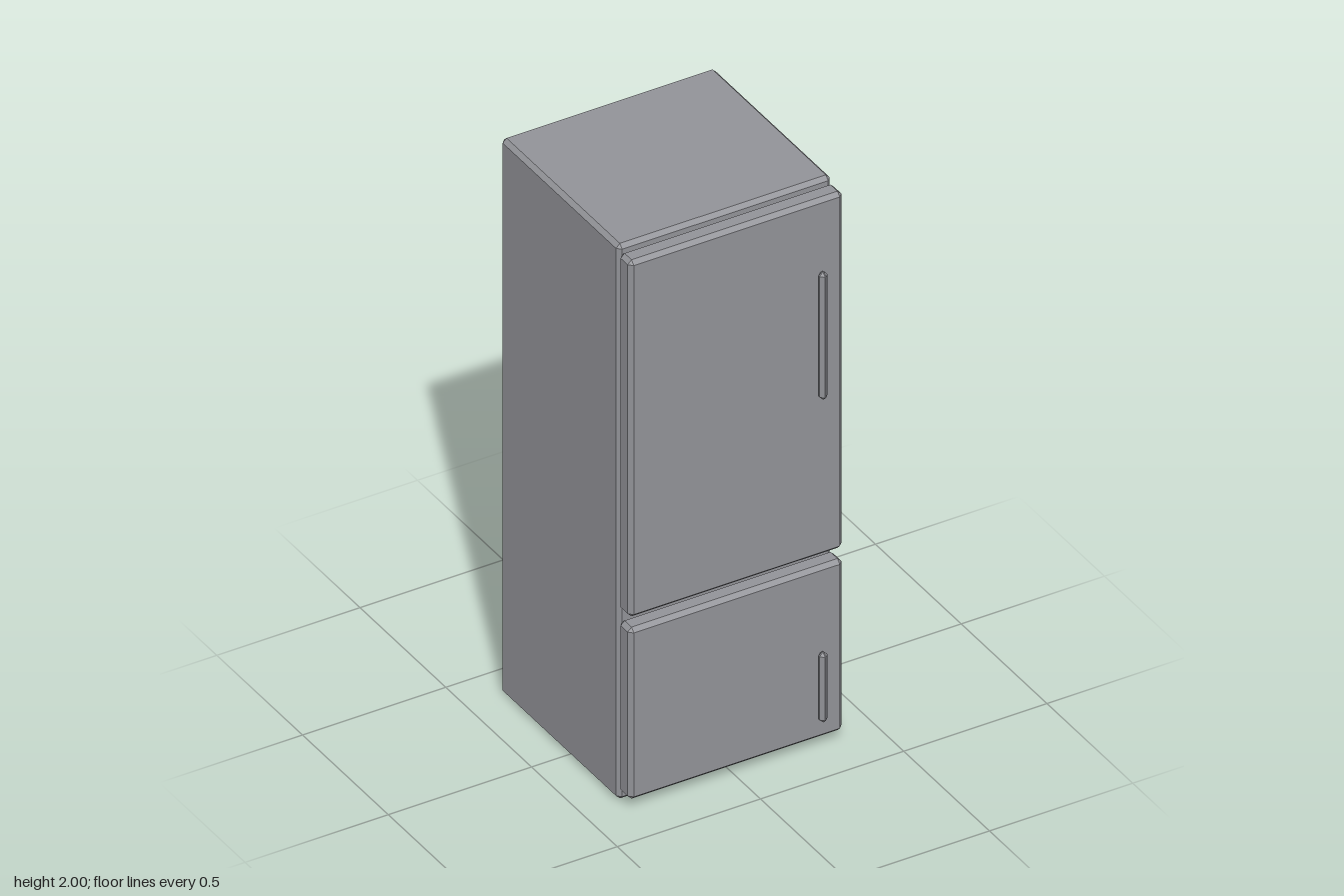
import * as THREE from 'three';
import { ConvexGeometry } from 'three/addons/geometries/ConvexGeometry.js';

const BEVEL = 0.0135;

// Box with 45-degree chamfers on every edge: three points per corner
function chamferedBox([x0, x1], [y0, y1], [z0, z1], bevel = BEVEL) {
  const half = new THREE.Vector3(x1 - x0, y1 - y0, z1 - z0).multiplyScalar(0.5);
  const points = [];
  for (const sx of [-1, 1]) for (const sy of [-1, 1]) for (const sz of [-1, 1]) {
    for (const outerAxis of [0, 1, 2]) {
      const inset = half.clone().subScalar(bevel);
      inset.setComponent(outerAxis, half.getComponent(outerAxis));
      points.push(inset.multiply(new THREE.Vector3(sx, sy, sz)));
    }
  }
  return new ConvexGeometry(points)
    .translate((x0 + x1) / 2, (y0 + y1) / 2, (z0 + z1) / 2);
}

export function createModel() {
  const group = new THREE.Group();
  group.name = 'refrigerator';

  const metal = new THREE.MeshStandardMaterial({ color: 0x929398 });
  metal.name = 'grey metal';

  const add = (name, x, y, z, bevel) => {
    const mesh = new THREE.Mesh(chamferedBox(x, y, z, bevel), metal);
    mesh.name = name;
    group.add(mesh);
  };

  const width = [-0.373, 0.373];
  const doorDepth = [0.294, 0.362];
  const handleWidth = [0.278, 0.306];
  const handleDepth = [0.362, 0.392];

  // Cabinet
  add('cabinet', width, [0, 2], [-0.394, 0.294]);

  // Doors
  add('upperDoor', width, [0.695, 1.98], doorDepth);
  add('lowerDoor', width, [0.038, 0.656], doorDepth);

  // Handles, bevelled almost to a diamond section
  add('upperHandle', handleWidth, [1.27, 1.73], handleDepth, 0.0125);
  add('lowerHandle', handleWidth, [0.107, 0.36], handleDepth, 0.0125);

  return group;
}
